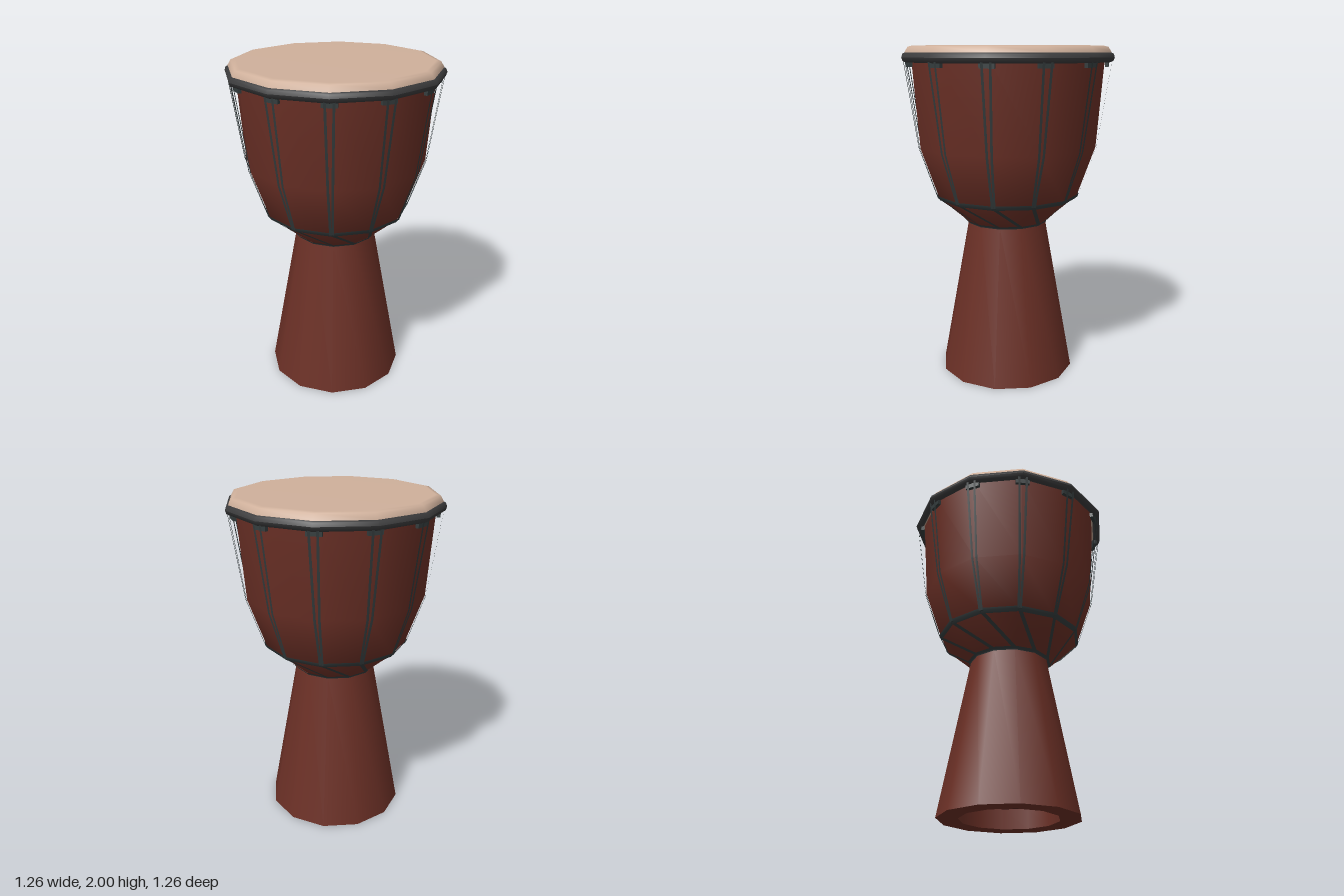
import * as THREE from 'three';

const SIDES = 12;
const mat = (name, color, side = THREE.FrontSide) => {
  const m = new THREE.MeshStandardMaterial({ color, side });
  m.name = name;
  return m;
};

// Point at angle a around the drum, radius r, height y, shifted sideways by t
const around = (a, r, y, t = 0) => new THREE.Vector3(
  Math.sin(a) * r + Math.cos(a) * t, y, Math.cos(a) * r - Math.sin(a) * t);

// Flat strip through points, widened along one direction
function ribbon(points, across, width) {
  const pos = [], idx = [];
  const half = across.clone().normalize().multiplyScalar(width / 2);
  points.forEach((p, i) => {
    pos.push(...p.clone().sub(half).toArray(), ...p.clone().add(half).toArray());
    if (i) {
      const k = 2 * i;
      idx.push(k - 2, k, k - 1, k - 1, k, k + 1);
    }
  });
  const g = new THREE.BufferGeometry();
  g.setAttribute('position', new THREE.Float32BufferAttribute(pos, 3));
  g.setIndex(idx);
  g.computeVertexNormals();
  return g;
}

export function createModel() {
  const wood = mat('wood', 0x6b3026);
  const hollow = mat('dark hollow', 0x421a18);
  const skin = mat('drum skin', 0xcfb09b);
  const rim = mat('rim', 0x3b3b3c);
  const rope = mat('rope', 0x343c3d, THREE.DoubleSide);

  const drum = new THREE.Group();
  drum.name = 'drum';
  const add = (name, geometry, material, parent = drum) => {
    const mesh = new THREE.Mesh(geometry, material);
    mesh.name = name;
    parent.add(mesh);
    return mesh;
  };
  const lathe = (name, profile, material) => add(name, new THREE.LatheGeometry(
    profile.map(([r, y]) => new THREE.Vector2(r, y)), SIDES), material);

  // Wooden shell
  lathe('foot', [[0.415, 0], [0.24, 0.95]], wood);
  lathe('footEdge', [[0.29, 0], [0.415, 0]], wood);
  lathe('footHoleWall', [[0.29, 0.12], [0.29, 0]], wood);
  lathe('footHoleEnd', [[0, 0.12], [0.29, 0.12]], hollow);
  lathe('bowl', [[0.24, 0.95], [0.43, 1.115], [0.535, 1.415], [0.575, 1.945]], wood);

  // Skin and the rim that holds it
  lathe('skinUnderside', [[0, 1.945], [0.61, 1.945]], skin);
  lathe('skin', [[0.612, 1.945], [0.61, 1.965], [0.592, 1.994], [0.565, 2], [0, 2]], skin);
  const rimProfile = [];
  for (let i = 0; i <= 8; i++) {
    const t = i / 8 * Math.PI * 2;
    rimProfile.push([0.607 + 0.023 * Math.cos(t), 1.935 + 0.028 * Math.sin(t)]);
  }
  lathe('rim', rimProfile, rim);

  // Rope bands around the bowl and the waist
  lathe('bowlBand', [[0.425, 1.1], [0.437, 1.115], [0.442, 1.128]], rope);
  lathe('waistBand', [[0.244, 0.944], [0.247, 0.952], [0.258, 0.961]], rope);

  // Tension ropes: a pair of strands, a knot and a slanted lower strand per corner
  const ropes = new THREE.Group();
  ropes.name = 'ropes';
  drum.add(ropes);
  const step = Math.PI * 2 / SIDES;
  for (let i = 0; i < SIDES; i++) {
    const a = i * step;
    const tangent = around(a, 0, 0, 1);
    for (const s of [-1, 1]) {
      add('strand', ribbon([
        around(a, 0.615, 1.92, s * 0.023),
        around(a, 0.541, 1.415, s * 0.013),
        around(a, 0.437, 1.115, s * 0.006),
      ], tangent, 0.014), rope, ropes);
    }
    const knot = add('knot', new THREE.BoxGeometry(0.085, 0.03, 0.02), rope, ropes);
    knot.position.copy(around(a, 0.587, 1.897));
    knot.rotation.y = a;

    const start = around(a, 0.436, 1.113), end = around(a + step, 0.248, 0.953);
    const faceNormal = around(a + step / 2, 0.165, -0.184);
    const across = new THREE.Vector3().crossVectors(faceNormal, end.clone().sub(start));
    add('lowerStrand', ribbon([start, end], across, 0.022), rope, ropes);
  }
  return drum;
}
